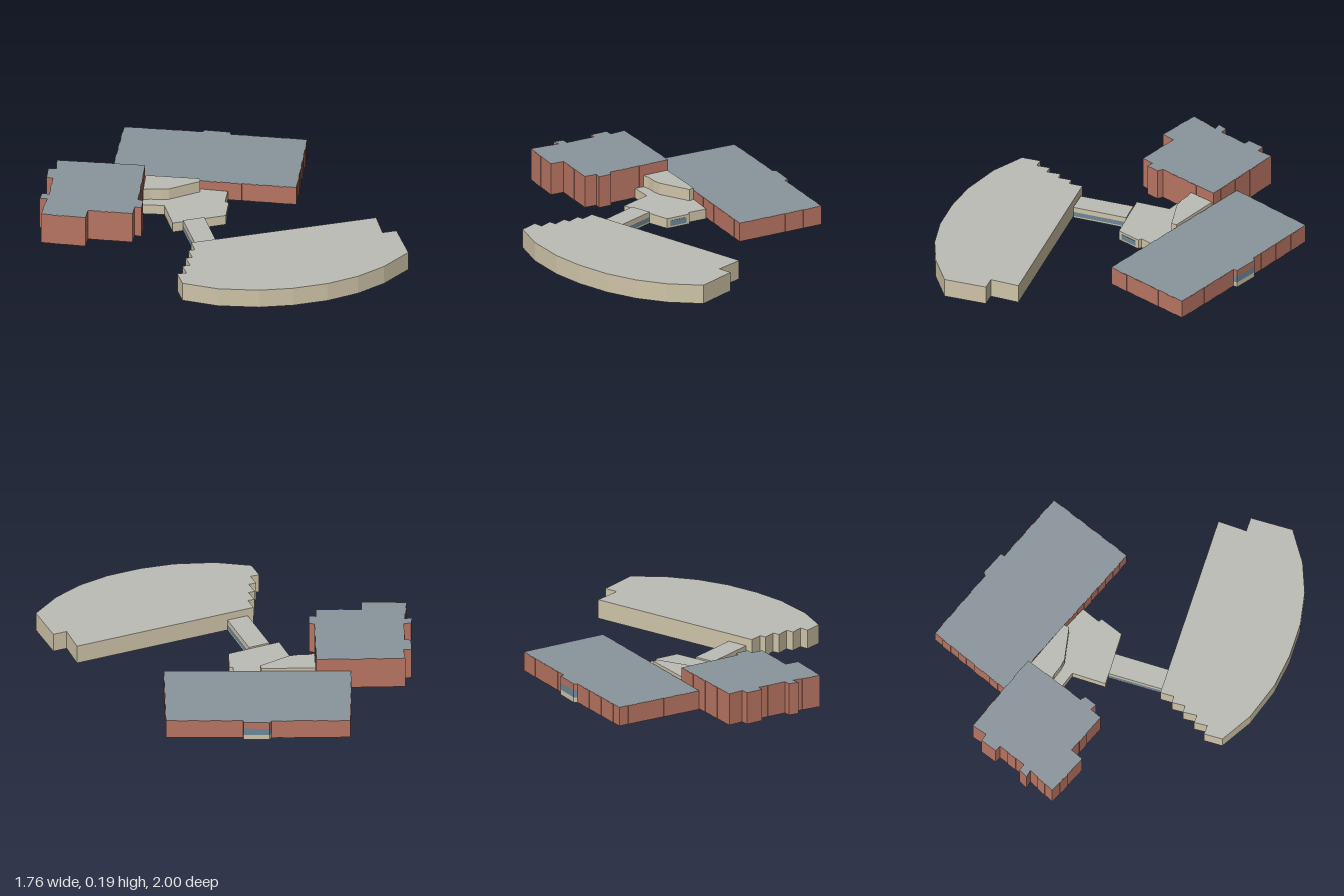
import * as THREE from 'three';
import { mergeGeometries } from 'three/addons/utils/BufferGeometryUtils.js';

const mat = (color) => new THREE.MeshStandardMaterial({ color, side: THREE.DoubleSide, flatShading: true });

// Outlines are [x, z] corners, always walked so that the outside lies on the same side.
function oriented(points) {
  const flat = points.map(([x, z]) => new THREE.Vector2(x, -z));
  return THREE.ShapeUtils.area(flat) < 0 ? [...points].reverse() : points;
}

// Moves a geometry made along x, facing +z, onto the line a-b.
function alongEdge(geo, a, b, t, y, out = 0) {
  const dx = b[0] - a[0], dz = b[1] - a[1], len = Math.hypot(dx, dz);
  return geo.rotateY(Math.atan2(-dz, dx))
    .translate(a[0] + dx * t - (dz / len) * out, y, a[1] + dz * t + (dx / len) * out);
}

const edgeLength = (a, b) => Math.hypot(b[0] - a[0], b[1] - a[1]);

const wallPlane = (a, b, y0, y1) =>
  alongEdge(new THREE.PlaneGeometry(edgeLength(a, b), y1 - y0), a, b, 0.5, (y0 + y1) / 2);

const closedEdges = (pts) => pts.map((p, i) => [p, pts[(i + 1) % pts.length]]);
const openEdges = (pts) => pts.slice(1).map((p, i) => [pts[i], p]);

export function createModel() {
  const model = new THREE.Group();
  const brick = mat(0xb87562), cream = mat(0xcfc4a8), slate = mat(0x8a949c);
  const paleRoof = mat(0xbcbcb6), glass = mat(0x6c8799);

  const add = (parent, name, geos, material) => {
    const mesh = new THREE.Mesh(Array.isArray(geos) ? mergeGeometries(geos) : geos, material);
    mesh.name = name;
    parent.add(mesh);
  };
  const group = (name) => {
    const g = new THREE.Group();
    g.name = name;
    model.add(g);
    return g;
  };
  const addRoof = (parent, pts, y, material) => {
    const shape = new THREE.Shape(pts.map(([x, z]) => new THREE.Vector2(x, -z)));
    add(parent, 'roof', new THREE.ShapeGeometry(shape).rotateX(-Math.PI / 2).translate(0, y, 0), material);
  };
  const addWalls = (parent, name, edges, y0, y1, material) =>
    add(parent, name, edges.map(([a, b]) => wallPlane(a, b, y0, y1)), material);

  // Shallow raised panels on every other bay of a brick wall
  const addPanels = (parent, edges, h) => {
    const panels = [];
    for (const [a, b] of edges) {
      const len = edgeLength(a, b), n = Math.round(len / 0.06);
      for (let i = 1; i < n - 1; i += 2) {
        panels.push(alongEdge(new THREE.BoxGeometry(len / n, h - 0.002, 0.006), a, b, (i + 0.5) / n, h / 2));
      }
    }
    add(parent, 'wallPanels', panels, brick);
  };

  // Large low brick hall, with a glazed bay on its rear side
  const hall = group('largeBrickHall');
  const bay = [[0.35, -0.77], [0.37, -0.78], [0.49, -0.70], [0.48, -0.68]];
  const hallPts = oriented([[-0.02, -1], ...bay, [0.84, -0.45], [0.57, -0.01], [-0.30, -0.57]]);
  const isBay = (p) => bay.includes(p);
  const hallEdges = closedEdges(hallPts).filter(([a, b]) => !(isBay(a) && isBay(b)));
  addRoof(hall, hallPts, 0.11, slate);
  addWalls(hall, 'brickWalls', hallEdges, 0, 0.11, brick);
  addPanels(hall, hallEdges, 0.11);
  addWalls(hall, 'bayBase', openEdges(bay), 0, 0.03, cream);
  addWalls(hall, 'bayWindow', openEdges(bay), 0.03, 0.07, glass);
  addWalls(hall, 'bayHead', openEdges(bay), 0.07, 0.11, brick);

  // Taller brick block with stepped corners
  const block = group('tallBrickBlock');
  const blockPts = oriented([
    [-0.56, -0.72], [-0.14, -0.465], [-0.33, -0.15], [-0.31, -0.125], [-0.35, -0.06], [-0.38, -0.085],
    [-0.42, -0.025], [-0.63, -0.16], [-0.675, -0.095], [-0.88, -0.235], [-0.78, -0.37], [-0.82, -0.385],
    [-0.785, -0.43], [-0.75, -0.41], [-0.66, -0.555], [-0.69, -0.575], [-0.64, -0.66], [-0.60, -0.64],
  ]);
  addRoof(block, blockPts, 0.185, slate);
  addWalls(block, 'brickWalls', closedEdges(blockPts), 0, 0.185, brick);
  addPanels(block, closedEdges(blockPts), 0.185);

  // Front building with a bowed front and a saw-toothed end
  const front = group('bowedFrontBuilding');
  const frontPts = oriented([
    [-0.205, 0.28], [0.835, 0.467], [0.80, 0.627], [0.878, 0.642], [0.84, 0.88], [0.655, 0.96],
    [0.48, 0.995], [0.295, 0.995], [0.10, 0.96], [-0.08, 0.90], [-0.28, 0.79], [-0.432, 0.655],
    [-0.415, 0.55], [-0.365, 0.562], [-0.355, 0.487], [-0.312, 0.497], [-0.303, 0.418], [-0.265, 0.425],
    [-0.255, 0.35], [-0.218, 0.356],
  ]);
  addRoof(front, frontPts, 0.11, paleRoof);
  addWalls(front, 'creamWalls', closedEdges(frontPts), 0, 0.11, cream);

  // Link corridor with a strip window along both sides
  const corridor = group('linkCorridor');
  const corridorPts = [[-0.116, -0.02], [0.005, 0.0], [-0.05, 0.305], [-0.168, 0.283]];
  const sides = [[corridorPts[2], corridorPts[1]], [corridorPts[0], corridorPts[3]]];
  addRoof(corridor, corridorPts, 0.067, paleRoof);
  addWalls(corridor, 'sideBase', sides, 0, 0.01, cream);
  addWalls(corridor, 'stripWindow', sides, 0.01, 0.037, glass);
  addWalls(corridor, 'sideHead', sides, 0.037, 0.067, cream);
  addWalls(corridor, 'endHead', [[corridorPts[0], corridorPts[1]]], 0.055, 0.067, cream);

  // Low lobby, with a higher part behind a curved wall
  const lobby = group('lobby');
  const curve = [[-0.217, -0.325], [-0.18, -0.315], [-0.127, -0.285], [-0.085, -0.27], [0.105, -0.27], [0.115, -0.30]];
  const lobbyOuter = [
    [0.245, -0.21], [0.185, -0.116], [0.20, -0.10], [0.127, 0.02], [-0.174, -0.03],
    [-0.137, -0.22], [-0.245, -0.28], [-0.217, -0.325],
  ];
  addRoof(lobby, [...curve, ...lobbyOuter.slice(0, -1)], 0.058, paleRoof);
  addWalls(lobby, 'lowWalls', openEdges(lobbyOuter), 0, 0.058, cream);
  const [wa, wb] = [[0.127, 0.02], [0.20, -0.10]];
  add(lobby, 'entranceWindow',
    alongEdge(new THREE.BoxGeometry(0.1, 0.032, 0.004), wa, wb, 0.5, 0.027), glass);

  const upper = group('upperLobby');
  const back = [-0.14, -0.457];
  addRoof(upper, [...curve, back], 0.125, paleRoof);
  addWalls(upper, 'curvedWall', openEdges(curve), 0.058, 0.125, cream);
  addWalls(upper, 'backWalls', [[curve[5], back], [back, curve[0]]], 0, 0.125, cream);

  return model;
}
